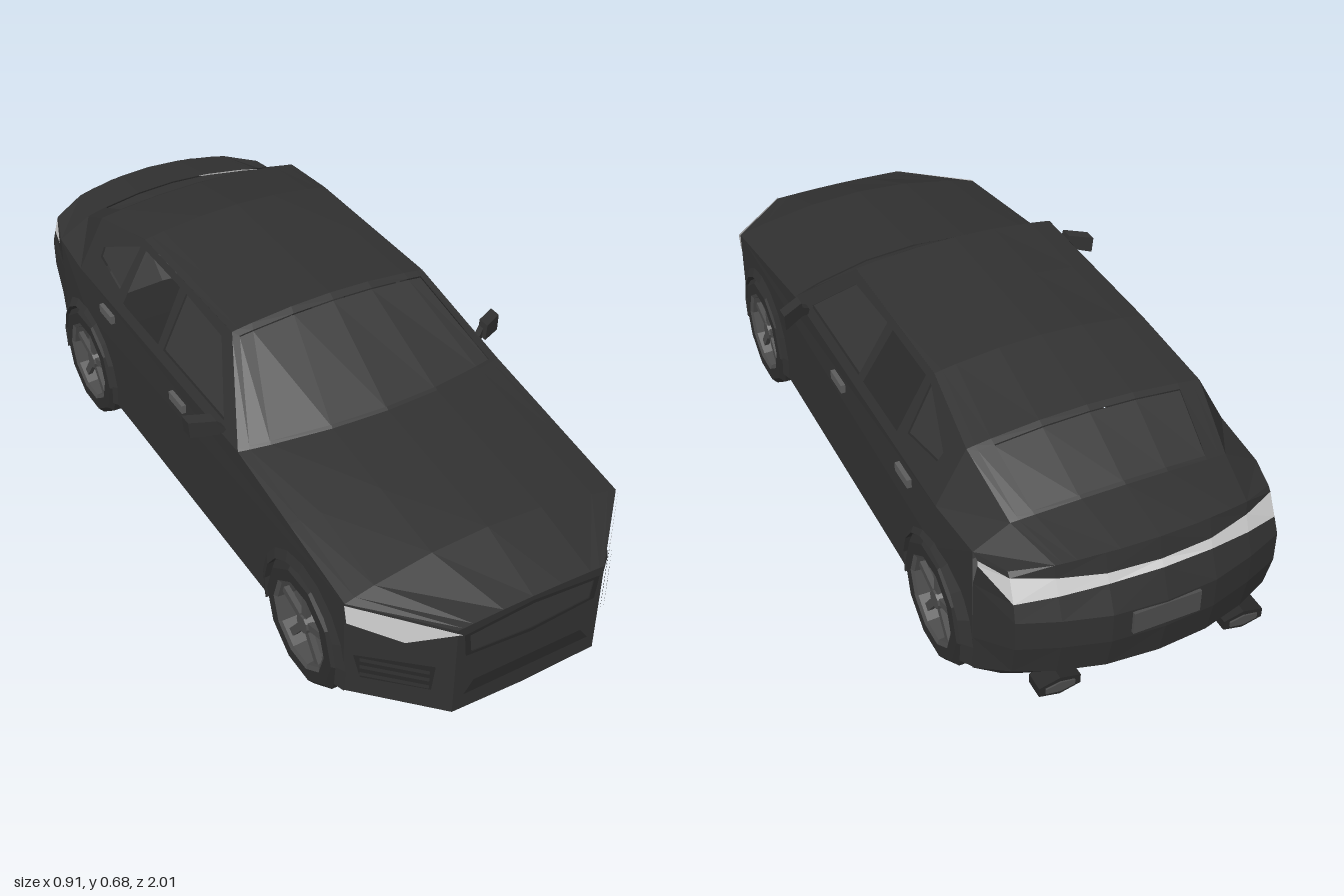
import * as THREE from 'three';

const mat = (name, color) => new THREE.MeshStandardMaterial({ name, color, flatShading: true, side: THREE.DoubleSide });

export function createModel() {
  const car = new THREE.Group();
  car.name = 'car';
  const paint = mat('body paint', 0x313131), glass = mat('dark glass', 0x363636);
  const rubber = mat('tyre rubber', 0x2e2e2e), metal = mat('rim metal', 0x4c4c4c);
  const trim = mat('handle trim', 0x5c5c5c), lamp = mat('lamp', 0xd0d0d0), black = mat('black trim', 0x282828);

  const add = (name, geo, m, parent = car) => {
    const mesh = new THREE.Mesh(geo, m);
    mesh.name = name;
    parent.add(mesh);
    return mesh;
  };
  // Flat outline mapped into space by a rule
  const panel = (name, m, pts, map, hole) => {
    const v = (a) => a.map(([p, q]) => new THREE.Vector2(p, q));
    const shape = new THREE.Shape(v(pts));
    (hole || []).forEach((h) => shape.holes.push(new THREE.Path(v(h))));
    const geo = new THREE.ShapeGeometry(shape), pos = geo.attributes.position;
    for (let i = 0; i < pos.count; i++) pos.setXYZ(i, ...map(pos.getX(i), pos.getY(i)));
    geo.computeVertexNormals();
    return add(name, geo, m);
  };
  // Quad surface through rows of points
  const loft = (name, m, rows) => {
    const index = [], n = rows[0].length;
    for (let r = 0; r < rows.length - 1; r++)
      for (let c = 0; c < n - 1; c++) {
        const a = r * n + c;
        index.push(a, a + n, a + 1, a + 1, a + n, a + n + 1);
      }
    const geo = new THREE.BufferGeometry();
    geo.setAttribute('position', new THREE.Float32BufferAttribute(rows.flat(2), 3));
    geo.setIndex(index);
    geo.computeVertexNormals();
    return add(name, geo, m);
  };

  // Crowned cross-section: centre z, edge z, edge x, centre y, edge y
  const U = [-1, -0.93, -0.8, -0.4, 0, 0.4, 0.8, 0.93, 1];
  const row = (zc, ze, xe, yc, ye) => U.map((u) => [u * xe, yc + (ye - yc) * u * u, zc + (ze - zc) * u * u]);
  const mix = (a, b, t) => a.map((p, i) => p.map((v, k) => v + (b[i][k] - v) * t));
  const nose = row(1, 1, 0.2, 0.375, 0.37), hood = row(0.82, 0.82, 0.378, 0.44, 0.385);
  const cowl = row(0.4, 0.33, 0.378, 0.49, 0.465), head = row(0.12, 0.12, 0.276, 0.672, 0.65);
  const roofEnd = row(-0.6, -0.6, 0.301, 0.63, 0.605), deck = row(-0.79, -0.77, 0.275, 0.54, 0.515);
  const lip = row(-0.945, -0.915, 0.24, 0.515, 0.5);
  const wsLow = mix(cowl, head, 0.03), wsTop = mix(cowl, head, 0.94);
  const rwTop = mix(roofEnd, deck, 0.08), rwLow = mix(roofEnd, deck, 0.95);
  const cut = (rows, a, b) => rows.map((r) => r.slice(a, b));
  const sink = (rows, d) => rows.map((r) => r.map(([x, y, z]) => [x, y - d, z]));

  loft('hood', paint, [nose, hood, mix(hood, cowl, 0.5), cowl, wsLow]);
  loft('windscreen', glass, sink(cut([wsLow, wsTop], 1, 8), 0.004));
  loft('roof', paint, [wsTop, head, row(-0.12, -0.12, 0.276, 0.675, 0.65), row(-0.37, -0.37, 0.276, 0.677, 0.65), roofEnd, rwTop]);
  loft('rearWindow', glass, sink(cut([rwTop, rwLow], 2, 7), 0.004));
  loft('bootLid', paint, [rwLow, deck, lip]);
  for (const [a, b] of [[0, 2], [7, 9]]) loft('windscreenPillar', paint, cut([wsLow, wsTop], a, b));
  for (const [a, b] of [[0, 3], [6, 9]]) loft('rearPillar', paint, cut([rwTop, rwLow], a, b));

  // Nose and floor
  panel('frontBumper', paint, [[-0.2, 0.11], [0, 0.103], [0.2, 0.11], [0.2, 0.37], [0, 0.375], [-0.2, 0.37]], (x, y) => [x, y, 1]);
  const onNose = (x, y) => [x, y, 1.005];
  const grille = [[-0.185, 0.352], [0, 0.368], [0.185, 0.352], [0.178, 0.285], [0, 0.27], [-0.178, 0.285]];
  panel('grilleFrame', black, grille, onNose, [grille.map(([x, y]) => [x * 0.92, (y - 0.317) * 0.8 + 0.317])]);
  panel('grilleMesh', glass, grille, (x, y) => [x * 0.92, (y - 0.317) * 0.8 + 0.317, 1.002]);
  panel('lowerIntake', black, [[-0.175, 0.16], [0.175, 0.16], [0.15, 0.195], [-0.15, 0.195]], onNose);
  const WHEELS = [0.635, -0.585], AXLE = 0.158, ARCH = 0.168;
  const half = [[0, 1], [0.2, 1], [0.378, 0.82]];
  WHEELS.forEach((z) => half.push([0.378, z + 0.16], [0.27, z + 0.16], [0.27, z - 0.16], [0.372, z - 0.16]));
  half.push([0.365, -0.77]);
  panel('floor', black, [...half, ...half.slice(1).reverse().map(([x, z]) => [-x, z])], (x, z) => [x, 0.11, z]);

  // Arch outline around a wheel centre
  const arch = (zc, r) => Array.from({ length: 11 }, (_, i) => {
    const t = -0.28 + (i / 10) * (Math.PI + 0.56);
    return [zc + r * Math.cos(t), AXLE + r * Math.sin(t)];
  });
  const slope = (y) => 0.378 - (y - 0.465) * 0.55;
  const windows = [
    [[0.235, 0.49], [0.09, 0.625], [-0.11, 0.632], [-0.1, 0.49]],
    [[-0.13, 0.49], [-0.145, 0.632], [-0.345, 0.632], [-0.345, 0.49]],
    [[-0.385, 0.51], [-0.375, 0.63], [-0.535, 0.555], [-0.53, 0.53]],
  ];

  for (const s of [1, -1]) {
    // Body sides
    panel('bodySide', paint,
      [[0.82, 0.11], ...arch(WHEELS[0], ARCH), ...arch(WHEELS[1], ARCH), [-0.77, 0.1], [-0.77, 0.465], [-0.6, 0.465], [0.33, 0.465], [0.82, 0.385]],
      (z, y) => [s * (0.378 - Math.max(0, -0.6 - z) * 0.076), y, z]);
    panel('cabinSide', paint, [[0.33, 0.465], [0.12, 0.65], [-0.37, 0.65], [-0.6, 0.605], [-0.6, 0.465]],
      (z, y) => [s * slope(y), y, z], windows);
    for (const i of [0, 2]) panel('sideGlass', glass, windows[i], (z, y) => [s * (slope(y) - 0.006), y, z]);
    loft('rearHaunch', paint, [
      [[s * 0.301, 0.605, -0.6], [s * 0.378, 0.465, -0.6]],
      [[s * 0.275, 0.515, -0.77], [s * 0.365, 0.465, -0.77]],
      [[s * 0.24, 0.5, -0.915], [s * 0.33, 0.48, -0.87]]]);

    // Front corner with headlamp and side intake
    const corner = (d) => (x, y) => [s * (x + d), y, 1 + d - (x - 0.2) * 1.011];
    panel('frontCorner', paint, [[0.2, 0.11], [0.378, 0.11], [0.378, 0.385], [0.2, 0.37]], corner(0));
    panel('headlamp', lamp, [[0.192, 0.366], [0.378, 0.385], [0.374, 0.332], [0.28, 0.307]], corner(0.004));
    const intake = [[0.23, 0.25], [0.362, 0.237], [0.35, 0.17], [0.235, 0.175]];
    panel('sideIntake', black, intake, corner(0.004));
    for (const y of [0.185, 0.208, 0.23]) panel('intakeBar', paint, [[0.238, y], [0.35, y - 0.002], [0.35, y + 0.009], [0.238, y + 0.011]], corner(0.009));

    // Rear end: columns from the centre to the side, levels from the bottom up
    const cols = [
      [[0, 0.13, -0.9], [0, 0.2, -0.98], [0, 0.29, -0.997], [0, 0.37, -0.997], [0, 0.443, -0.968], [0, 0.46, -0.957], [0, 0.515, -0.945]],
      [[0.13, 0.13, -0.89], [0.13, 0.2, -0.97], [0.13, 0.29, -0.988], [0.13, 0.37, -0.988], [0.13, 0.438, -0.958], [0.13, 0.462, -0.949], [0.13, 0.511, -0.936]],
      [[0.24, 0.125, -0.87], [0.24, 0.2, -0.94], [0.24, 0.29, -0.957], [0.24, 0.37, -0.957], [0.24, 0.425, -0.935], [0.24, 0.466, -0.92], [0.24, 0.5, -0.915]],
      [[0.32, 0.12, -0.83], [0.33, 0.2, -0.9], [0.335, 0.29, -0.92], [0.335, 0.37, -0.92], [0.332, 0.412, -0.905], [0.33, 0.468, -0.88], [0.33, 0.48, -0.87]],
      [[0.365, 0.1, -0.77], [0.365, 0.2, -0.77], [0.365, 0.29, -0.77], [0.365, 0.37, -0.77], [0.363, 0.44, -0.79], [0.363, 0.455, -0.79], [0.365, 0.465, -0.77]],
    ].map((c) => c.map(([x, y, z]) => [s * x, y, z]));
    loft('rearBumper', paint, cut(cols, 0, 5));
    loft('tailLamp', lamp, cut(cols, 4, 6));
    loft('bootEdge', paint, cut(cols, 5, 7));
    loft('rearUnderside', black, cols.map((c) => [c[0], [c[0][0], 0.11, -0.76]]));
    const pipe = add('exhaust', new THREE.CylinderGeometry(1, 1, 0.05, 6), black);
    pipe.scale.set(0.06, 1, 0.025);
    pipe.rotation.set(Math.PI / 2, 0, 0);
    pipe.position.set(s * 0.24, 0.172, -0.935);
    const tip = add('exhaustTip', new THREE.CylinderGeometry(1, 1, 0.006, 6), metal);
    tip.scale.set(0.042, 1, 0.014);
    tip.rotation.x = Math.PI / 2;
    tip.position.set(s * 0.24, 0.172, -0.961);

    // Door handles
    for (const [z, y] of [[0.008, 0.402], [-0.42, 0.42]]) {
      add('doorHandle', new THREE.BoxGeometry(0.012, 0.024, 0.074), trim).position.set(s * 0.382, y, z);
    }

    // Door mirror, swept back towards its tip
    for (const [name, pts, d] of [
      ['mirror', [[0.388, 0.475], [0.395, 0.515], [0.455, 0.51], [0.452, 0.465]], 0.035],
      ['mirrorStalk', [[0.365, 0.465], [0.372, 0.485], [0.4, 0.505], [0.4, 0.475]], 0.02]]) {
      const geo = new THREE.ExtrudeGeometry(new THREE.Shape(pts.map(([x, y]) => new THREE.Vector2(x, y))), { depth: d, bevelEnabled: false });
      const p = geo.attributes.position;
      for (let i = 0; i < p.count; i++) p.setXYZ(i, s * p.getX(i), p.getY(i), p.getZ(i) + 0.225 - (p.getX(i) - 0.39) * 0.55);
      geo.computeVertexNormals();
      add(name, geo, paint);
    }

    for (const zc of WHEELS) {
      // Wheel arch lip and housing
      const inner = arch(zc, ARCH), outer = arch(zc, 0.195);
      const ring = (pts, x) => pts.map(([z, y]) => [s * x, Math.max(y, 0.108), z]);
      const backX = zc < 0 ? 0.368 : 0.377;
      loft('archLip', paint, [ring(outer, backX), ring(inner, 0.388), ring(inner, 0.27)]);
      panel('wheelHousing', black, inner, (z, y) => [s * 0.27, y, z]);

      // Wheel
      const wheel = new THREE.Group();
      wheel.name = 'wheel';
      wheel.position.set(s * 0.34, AXLE, zc);
      if (s < 0) wheel.rotation.y = Math.PI;
      car.add(wheel);
      const lathe = (pts) => new THREE.LatheGeometry(pts.map(([r, y]) => new THREE.Vector2(r, y)), 10).rotateZ(-Math.PI / 2);
      add('tyre', lathe([[0.118, -0.05], [0.15, -0.05], [0.165, -0.036], [0.165, 0.036], [0.15, 0.05], [0.118, 0.05]]), rubber, wheel);
      add('rim', lathe([[0.12, 0.05], [0.108, 0.044], [0.104, 0], [0.118, -0.05]]), metal, wheel);
      add('hub', new THREE.CylinderGeometry(0.024, 0.03, 0.03, 10).rotateZ(-Math.PI / 2), metal, wheel).position.x = 0.025;
      for (let i = 0; i < 5; i++) {
        const spoke = new THREE.BoxGeometry(0.014, 0.095, 0.02).translate(0.028, 0.062, 0).rotateX((i * Math.PI * 2) / 5);
        add('spoke', spoke, metal, wheel);
      }
    }
  }

  // Rear number plate, left blank
  add('rearPlate', new THREE.BoxGeometry(0.17, 0.06, 0.008), metal).position.set(0, 0.335, -0.996);
  return car;
}
